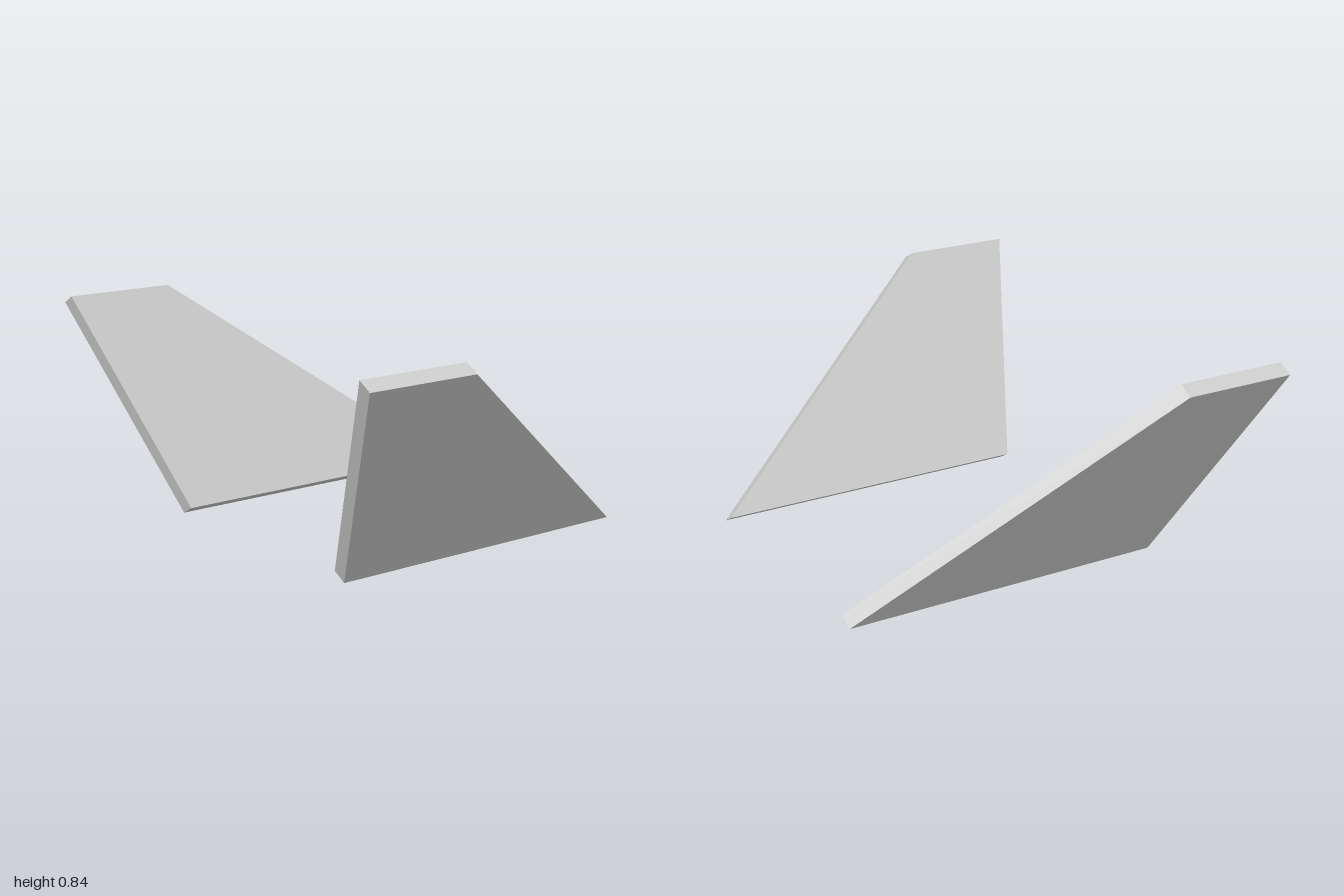
import * as THREE from 'three';

const THICKNESS = 0.063;
const SPAN = 0.934;
const CANT = Math.PI / 6; // outward lean from vertical
const ROOT_X = 0.533; // outer lower edge

// Swept fin plate; side is +1 for the model's left, -1 for its right
function createFin(side, material) {
  // Outline: x runs towards the back, y runs along the span
  const outline = new THREE.Shape([
    new THREE.Vector2(-0.525, 0),
    new THREE.Vector2(0.768, 0),
    new THREE.Vector2(-0.325, SPAN),
    new THREE.Vector2(-0.768, SPAN),
  ]);
  const geometry = new THREE.ExtrudeGeometry(outline, { depth: THICKNESS, bevelEnabled: false });
  geometry.rotateY(Math.PI / 2);
  // Keep the outer face on the hinge line, then lean the plate outwards
  if (side > 0) geometry.translate(-THICKNESS, 0, 0);
  geometry.rotateZ(-side * CANT);
  geometry.translate(side * ROOT_X, 0, 0);

  const fin = new THREE.Mesh(geometry, material);
  fin.name = side > 0 ? 'leftFin' : 'rightFin';
  return fin;
}

export function createModel() {
  const group = new THREE.Group();
  group.name = 'cantedTailFins';
  const material = new THREE.MeshStandardMaterial({ color: 0xcccccc, flatShading: true });
  for (const side of [1, -1]) group.add(createFin(side, material));
  return group;
}
